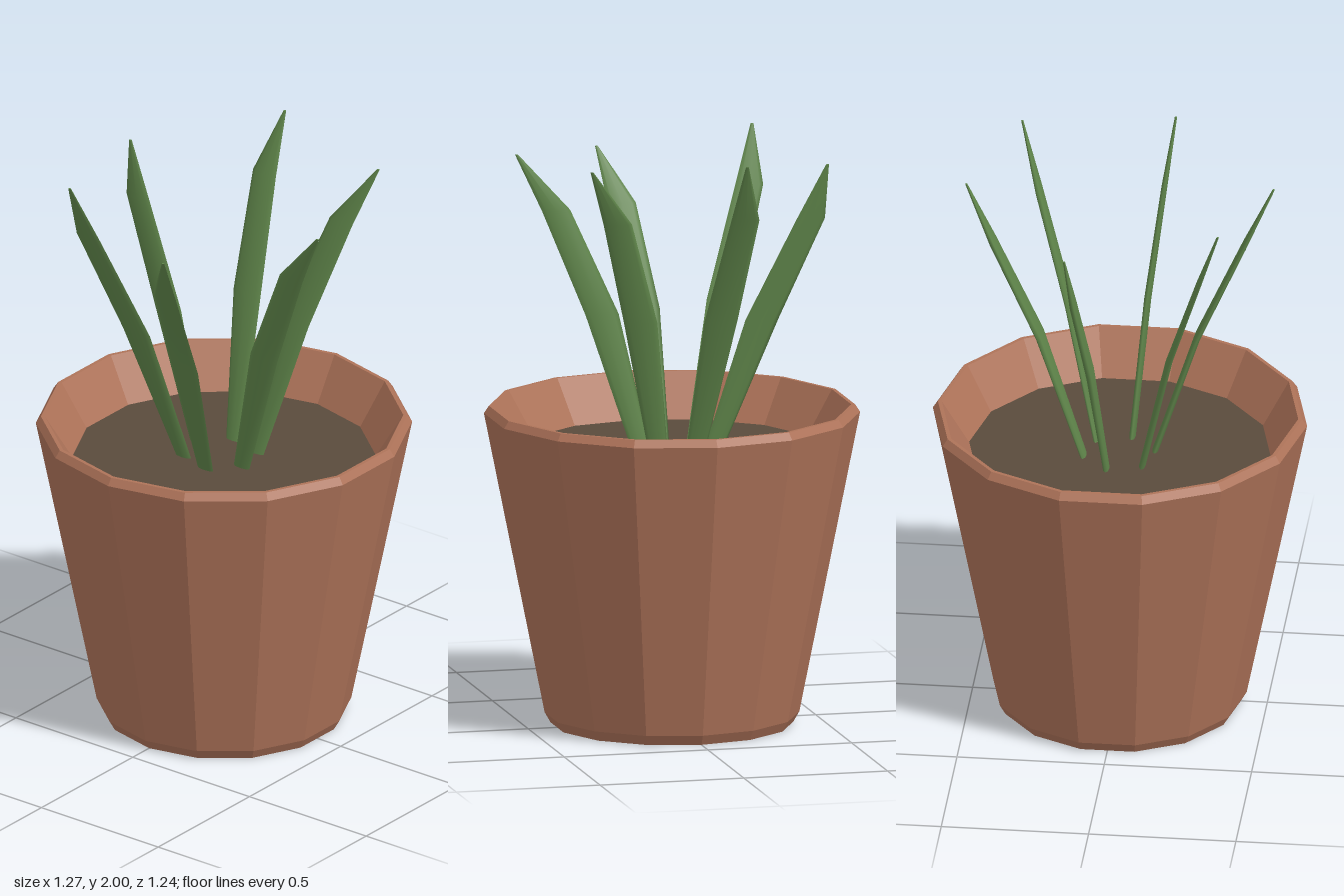
import * as THREE from 'three';

const terracotta = new THREE.MeshStandardMaterial({ color: 0xae7359 });
terracotta.name = 'terracotta';
const earth = new THREE.MeshStandardMaterial({ color: 0x5a4b3c });
earth.name = 'earth';
const green = new THREE.MeshStandardMaterial({ color: 0x5f854a });
green.name = 'leafGreen';

const SIDES = 14;
const SOIL_Y = 0.94;

// Faceted solid of revolution with a corner on the x axis
function facetedLathe(profile) {
  const points = profile.map(([r, y]) => new THREE.Vector2(r, y));
  const geometry = new THREE.LatheGeometry(points, SIDES, Math.PI / 2).toNonIndexed();
  geometry.computeVertexNormals();
  return geometry;
}

// Blade sections from root to tip: distance out, height fraction, z shift, width, thickness
const SECTIONS = [
  { out: 0.12, up: 0, shift: -0.018, width: 0.065, thick: 0.022 },
  { out: 0.27, up: 0.46, shift: -0.035, width: 0.115, thick: 0.024 },
  { out: 0.43, up: 0.81, shift: -0.04, width: 0.098, thick: 0.02 },
  { out: 0.525, up: 1, shift: 0, width: 0.01, thick: 0.008 },
];

// Every blade leans outward but stays broad along z and thin along x
function leafGeometry(angle, tipY) {
  const geometry = new THREE.CylinderGeometry(1, 1, 3, 8, 3);
  const p = geometry.attributes.position;
  for (let i = 0; i < p.count; i++) {
    const s = SECTIONS[Math.round(p.getY(i) + 1.5)];
    p.setXYZ(
      i,
      Math.cos(angle) * s.out + p.getX(i) * s.thick / 2,
      SOIL_Y - 0.01 + (tipY - SOIL_Y + 0.01) * s.up,
      -Math.sin(angle) * s.out + s.shift + p.getZ(i) * s.width / 2,
    );
  }
  geometry.computeVertexNormals();
  return geometry;
}

export function createModel() {
  const model = new THREE.Group();
  model.name = 'pottedPlant';
  const add = (name, geometry, material, parent = model) => {
    const mesh = new THREE.Mesh(geometry, material);
    mesh.name = name;
    parent.add(mesh);
  };

  // Pot with bevelled foot and rim, and a sloping inner wall
  add('pot', facetedLathe([
    [0, 0], [0.41, 0], [0.43, 0.035], [0.635, 1.065],
    [0.618, 1.09], [0.605, 1.09], [0.51, SOIL_Y - 0.005],
  ]), terracotta);

  // Soil surface
  add('soil', facetedLathe([[0.512, SOIL_Y], [0, SOIL_Y]]), earth);

  // Six leaves spaced evenly around the middle
  const leaves = new THREE.Group();
  leaves.name = 'leaves';
  model.add(leaves);
  [2.0, 1.92, 1.97, 1.89, 1.95, 1.98].forEach((tipY, i) => {
    const angle = Math.PI / 12 + (i * Math.PI) / 3;
    add(`leaf${i + 1}`, leafGeometry(angle, tipY), green, leaves);
  });

  return model;
}
